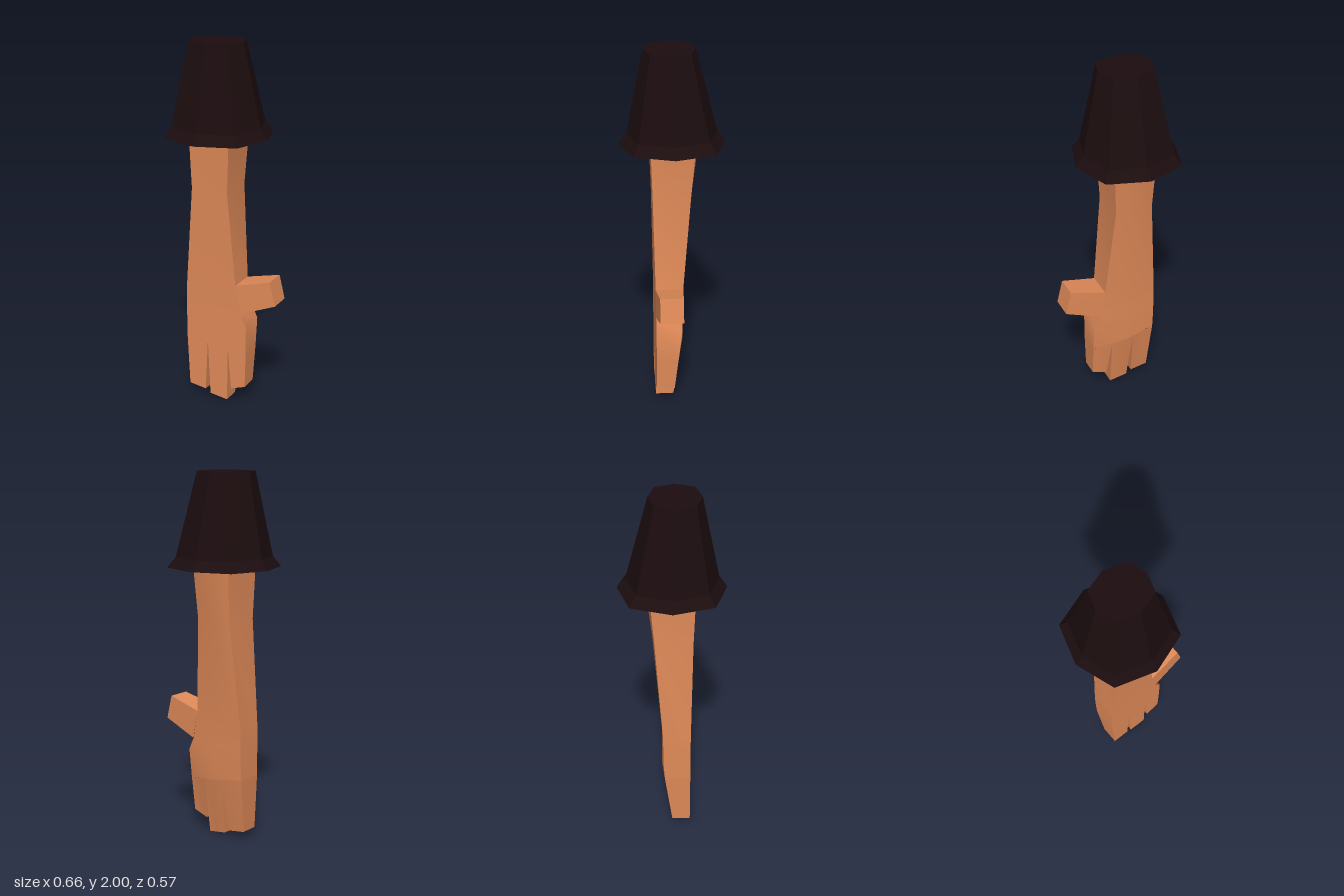
import * as THREE from 'three';
import { toCreasedNormals } from 'three/addons/utils/BufferGeometryUtils.js';

const skin = new THREE.MeshStandardMaterial({ color: 0xe08a58 });
const cloth = new THREE.MeshStandardMaterial({ color: 0x1c0d0f, flatShading: true });

// Loft through five-sided sections. Each row: left x,y, right x,y, front z,
// back z at the left, at the middle and at the right.
function loft(name, rows) {
  const pos = [];
  const idx = [];
  const n = 5;
  for (const [lx, ly, rx, ry, zf, zl, zm, zr] of rows) {
    pos.push(lx, ly, zf, rx, ry, zf, rx, ry, zr, (lx + rx) / 2, (ly + ry) / 2, zm, lx, ly, zl);
  }
  for (let i = 0; i < rows.length - 1; i++) {
    for (let j = 0; j < n; j++) {
      const a = i * n + j;
      const b = i * n + (j + 1) % n;
      idx.push(a, a + n, b + n, a, b + n, b);
    }
  }
  // end cap
  const e = (rows.length - 1) * n;
  for (let j = 1; j < n - 1; j++) idx.push(e, e + j + 1, e + j);
  const geo = new THREE.BufferGeometry();
  geo.setAttribute('position', new THREE.Float32BufferAttribute(pos, 3));
  geo.setIndex(idx);
  const mesh = new THREE.Mesh(toCreasedNormals(geo, 0.6), skin);
  mesh.name = name;
  return mesh;
}

// Eight-sided sleeve with a flared hem, narrowing toward the top
function makeSleeve() {
  const profile = [[0, 1.5], [0.283, 1.5], [0.242, 1.555], [0.15, 2], [0, 2]]
    .map(([r, y]) => new THREE.Vector2(r, y));
  const geo = new THREE.LatheGeometry(profile, 8);
  const p = geo.attributes.position;
  for (let i = 0; i < p.count; i++) {
    const x = p.getX(i);
    const z = p.getZ(i);
    const t = (p.getY(i) - 1.5) / 0.5;
    const k = Math.abs(x * z) > 1e-4 ? 1.07 : 1; // diagonal corners reach further
    p.setX(i, x * k - 0.048);
    p.setZ(i, z * k * (1 - 0.1 * t) + 0.015 * t);
  }
  const mesh = new THREE.Mesh(geo, cloth);
  mesh.name = 'sleeve';
  return mesh;
}

export function createModel() {
  const model = new THREE.Group();
  model.name = 'arm';
  model.add(makeSleeve());

  // Forearm running into the palm
  model.add(loft('forearmAndPalm', [
    [-0.165, 1.52, 0.07, 1.52, 0.12, -0.117, -0.142, -0.117],
    [-0.155, 1.22, 0.055, 1.22, 0.11, -0.093, -0.106, -0.093],
    [-0.2, 0.63, 0.1, 0.7, 0.1, -0.05, -0.057, -0.05],
    [-0.2, 0.53, 0.13, 0.54, 0.1, -0.05, -0.057, -0.046],
    [-0.2, 0.45, 0.165, 0.47, 0.1, -0.048, -0.057, -0.042],
    [-0.2, 0.36, 0.165, 0.3, 0.1, -0.042, -0.057, -0.022],
  ]));

  // Fingers
  model.add(loft('outerFinger', [
    [-0.2, 0.36, -0.07, 0.339, 0.1, -0.042, -0.048, -0.053],
    [-0.185, 0.05, -0.085, 0.035, 0.1, 0, 0, 0],
  ]));
  model.add(loft('middleFinger', [
    [-0.07, 0.339, 0.055, 0.318, 0.1, -0.053, -0.055, -0.043],
    [-0.055, 0.015, 0.05, 0, 0.1, 0, 0, 0],
  ]));
  model.add(loft('indexFinger', [
    [0.055, 0.318, 0.165, 0.3, 0.1, -0.043, -0.033, -0.022],
    [0.075, 0.075, 0.16, 0.105, 0.1, 0, 0, 0],
  ]));

  // Thumb, lofted sideways from the palm
  model.add(loft('thumb', [
    [0.13, 0.54, 0.1, 0.7, 0.1, -0.048, -0.049, -0.05],
    [0.33, 0.62, 0.298, 0.752, 0.087, -0.038, -0.038, -0.038],
  ]));
  return model;
}
